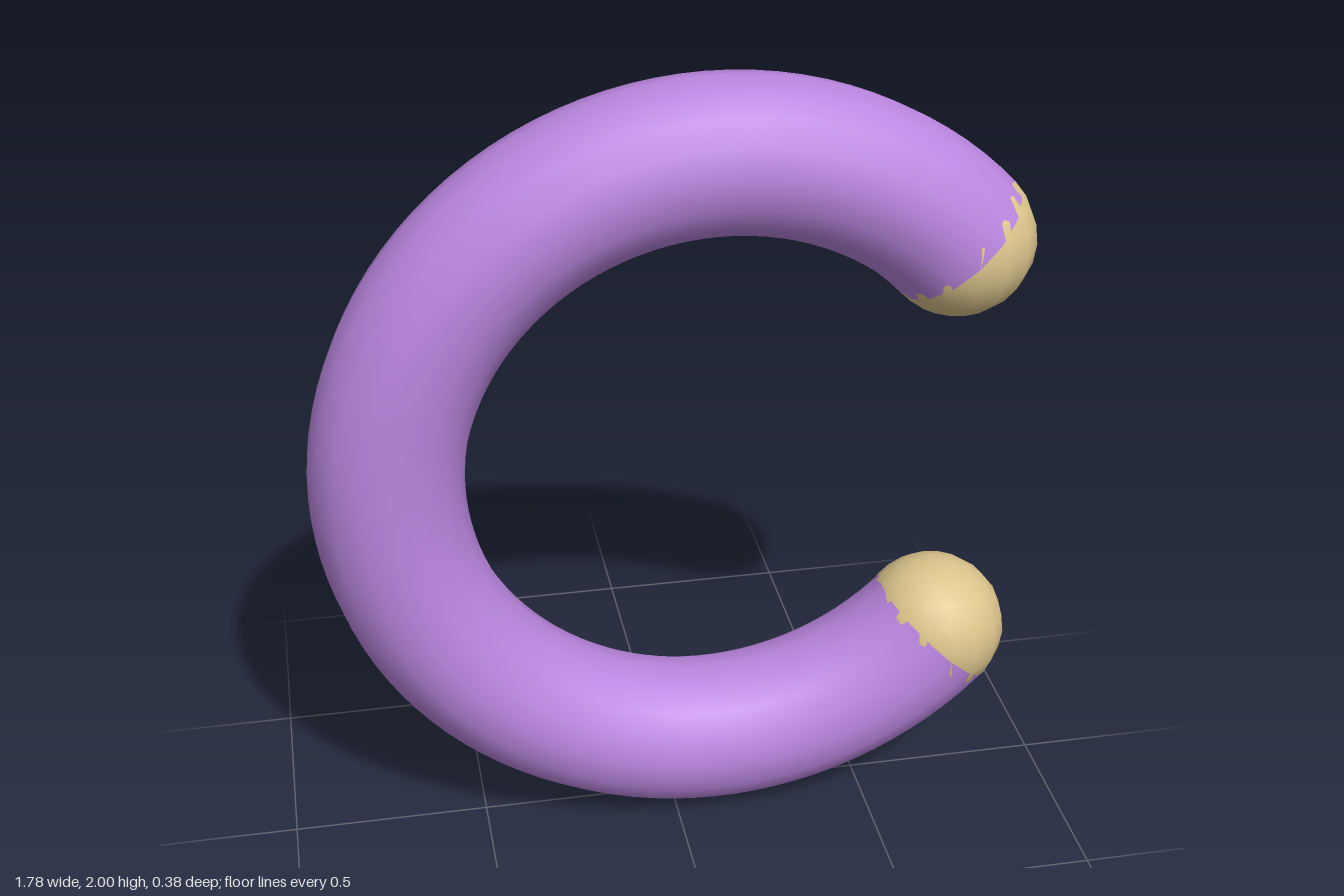
import * as THREE from 'three';

export function createModel() {
  const model = new THREE.Group();
  const purple = new THREE.MeshStandardMaterial({ color: 0xbb86e0 });
  purple.name = 'purple';
  purple.side = THREE.DoubleSide; // the ring's ends are open
  const gold = new THREE.MeshStandardMaterial({ color: 0xdcc48c });
  gold.name = 'gold';

  const ringRadius = 0.81, tubeRadius = 0.19;
  const centreX = 0.11, centreY = 1;
  const arc = Math.PI * 2 * 0.76;
  const gap = (Math.PI * 2 - arc) / 2; // half of the opening, facing +x

  // Open ring
  const ring = new THREE.Mesh(new THREE.TorusGeometry(ringRadius, tubeRadius, 16, 80, arc), purple);
  ring.name = 'openRing';
  ring.position.set(centreX, centreY, 0);
  ring.rotation.z = gap;
  model.add(ring);

  // Ball at each end of the ring
  for (const [name, side] of [['upperBall', 1], ['lowerBall', -1]]) {
    const ball = new THREE.Mesh(new THREE.SphereGeometry(tubeRadius, 16, 12), gold);
    ball.name = name;
    ball.position.set(
      centreX + ringRadius * Math.cos(gap),
      centreY + side * ringRadius * Math.sin(gap),
      0
    );
    model.add(ball);
  }
  return model;
}
